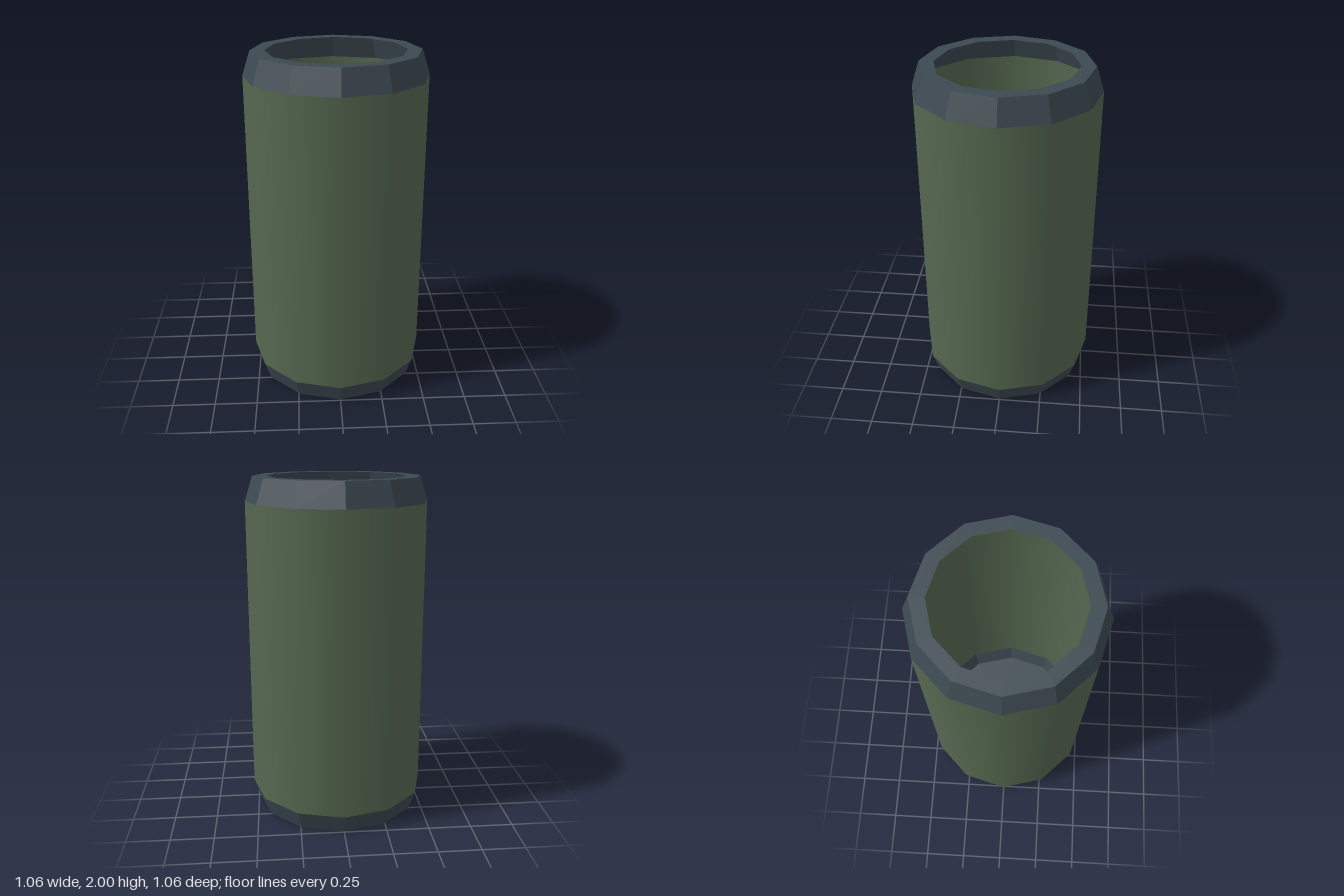
import * as THREE from 'three';

const SIDES = 12;

export function createModel() {
  const group = new THREE.Group();
  const green = new THREE.MeshStandardMaterial({ color: 0x556850, side: THREE.DoubleSide });
  green.name = 'olive green';
  const slate = new THREE.MeshStandardMaterial({ color: 0x3c4951, side: THREE.DoubleSide, flatShading: true });
  slate.name = 'dark slate';

  const add = (name, geometry, material, y) => {
    const mesh = new THREE.Mesh(geometry, material);
    mesh.name = name;
    mesh.position.y = y;
    group.add(mesh);
    return mesh;
  };
  // open twelve-sided band from y0 to y1
  const band = (name, rTop, rBottom, y0, y1, material) =>
    add(name, new THREE.CylinderGeometry(rTop, rBottom, y1 - y0, SIDES, 1, true), material, (y0 + y1) / 2);

  // thin-walled hollow body, smooth shaded
  band('body', 0.528, 0.528, 0.11, 1.86, green);

  // tapered collars at both ends
  band('topCollar', 0.482, 0.528, 1.86, 2, slate);
  band('bottomCollar', 0.528, 0.49, 0, 0.11, slate);

  // flat lip around the opening
  add('lip', new THREE.RingGeometry(0.4, 0.482, SIDES), slate, 2).rotation.x = -Math.PI / 2;

  // closed floor, facing down
  add('floor', new THREE.CircleGeometry(0.49, SIDES), slate, 0).rotation.x = Math.PI / 2;

  return group;
}
